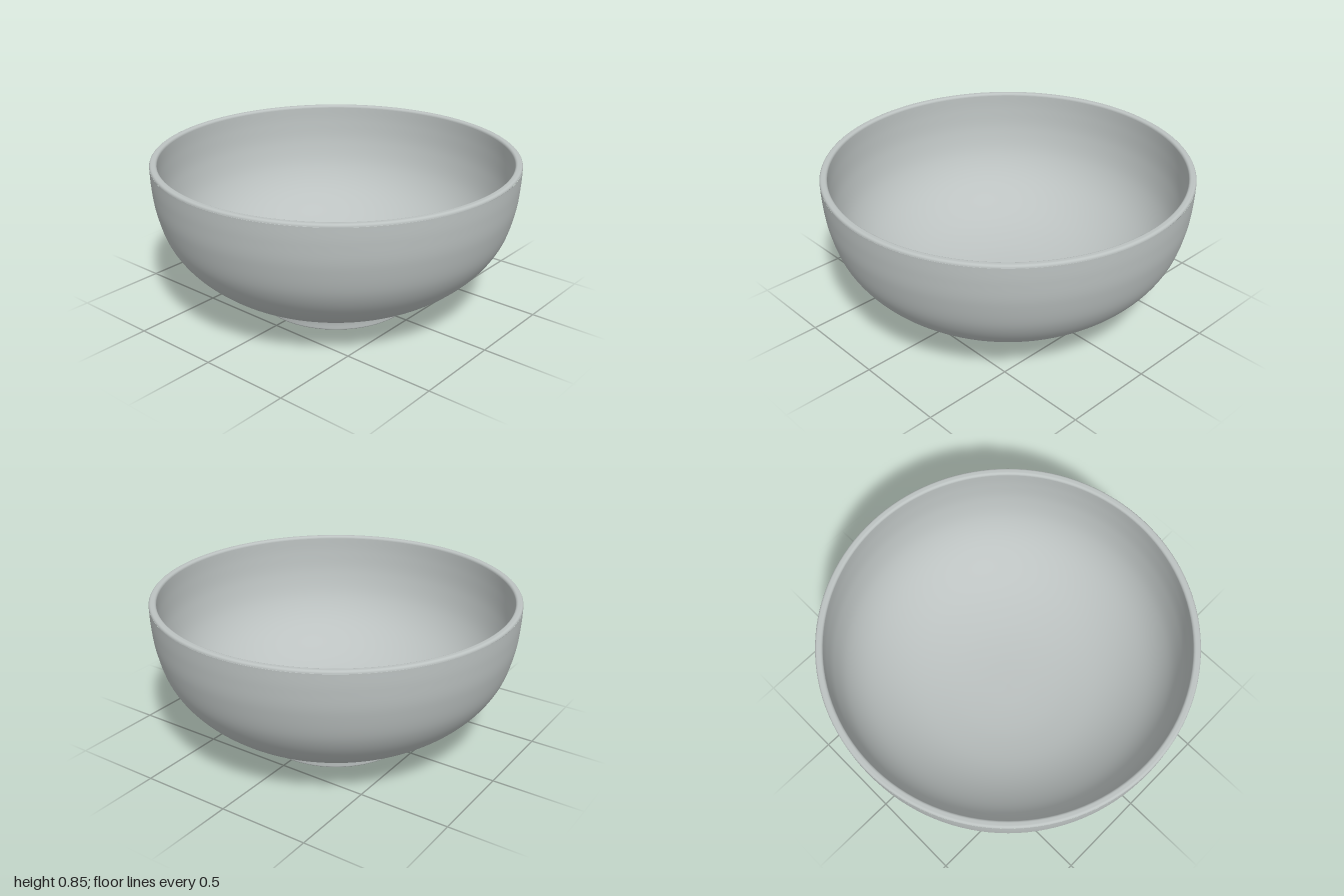
import * as THREE from 'three';

const SEGMENTS = 128;

// Smooth curve through [radius, height] pairs
function curve(pairs, divisions) {
  return new THREE.SplineCurve(pairs.map(([r, y]) => new THREE.Vector2(r, y))).getPoints(divisions);
}

// Rounded corner: quarter ellipse about (cx, cy), angles in degrees
function corner(cx, cy, radius, from, to) {
  return Array.from({ length: 7 }, (_, i) => {
    const a = THREE.MathUtils.degToRad(from + (to - from) * i / 6);
    return new THREE.Vector2(cx + radius * Math.cos(a), cy + radius * Math.sin(a));
  });
}

export function createModel() {
  const glaze = new THREE.MeshStandardMaterial({ color: 0xbcc2c1 });
  glaze.name = 'greyGlaze';

  const group = new THREE.Group();
  group.name = 'bowl';
  const addLathe = (name, points) => {
    const mesh = new THREE.Mesh(new THREE.LatheGeometry(points, SEGMENTS), glaze);
    mesh.name = name;
    group.add(mesh);
  };

  // Foot ring with a shallow recess underneath and a cove up to the body
  addLathe('foot', [
    new THREE.Vector2(0, 0.025),
    new THREE.Vector2(0.33, 0.025),
    ...curve([[0.345, 0.024], [0.36, 0.016], [0.372, 0.004], [0.385, 0]], 12),
    ...corner(0.427, 0.01, 0.01, -90, 0),
    ...curve([[0.438, 0.025], [0.442, 0.05], [0.453, 0.07], [0.475, 0.085]], 12),
  ]);

  // Outer wall
  addLathe('outerWall', curve([
    [0.475, 0.085], [0.55, 0.112], [0.71, 0.198], [0.845, 0.315],
    [0.935, 0.45], [0.982, 0.61], [0.997, 0.74], [1, 0.835],
  ], 48));

  // Rounded lip
  addLathe('rim', [
    ...corner(0.986, 0.836, 0.014, 0, 90),
    ...corner(0.974, 0.836, 0.014, 90, 180),
  ]);

  // Inner surface, from the lip down to the centre
  addLathe('innerWall', curve([
    [0.96, 0.836], [0.957, 0.74], [0.942, 0.61], [0.898, 0.465], [0.815, 0.34],
    [0.69, 0.235], [0.54, 0.158], [0.36, 0.108], [0.18, 0.085], [0, 0.08],
  ], 56));

  return group;
}
